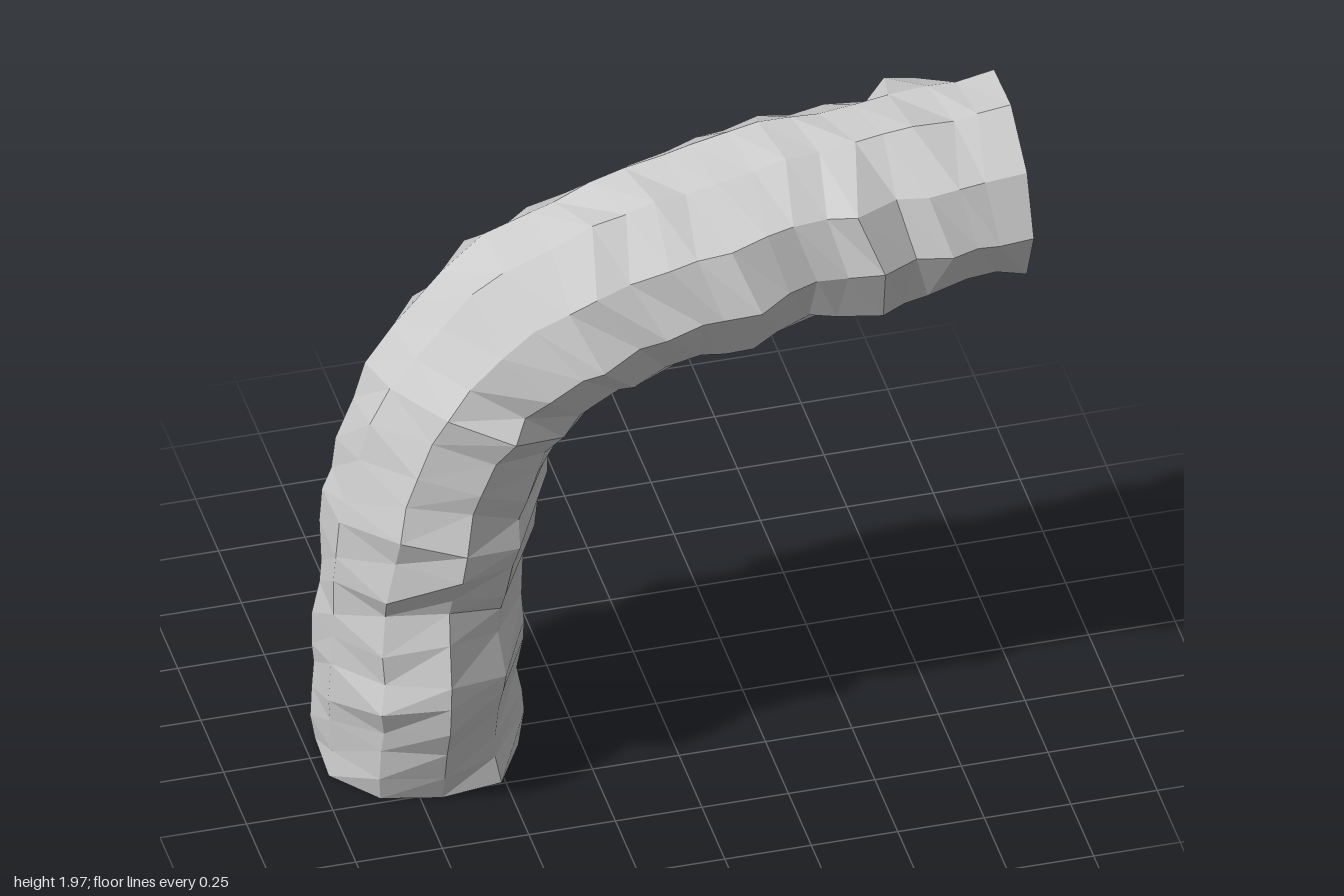
import * as THREE from 'three';

// Small seeded generator, returns values in -1..1
function seeded(seed) {
  return () => {
    seed = (seed * 16807) % 2147483647;
    return (seed / 2147483647) * 2 - 1;
  };
}

// Half widths of the front and back flank, ring by ring from the lower mouth
const FRONT = [0.29, 0.30, 0.32, 0.35, 0.36, 0.36, 0.33, 0.31, 0.34, 0.36, 0.38,
  0.34, 0.35, 0.33, 0.34, 0.33, 0.34, 0.33, 0.35, 0.34, 0.33, 0.34,
  0.34, 0.37, 0.33, 0.32, 0.34, 0.38, 0.33, 0.37, 0.35, 0.34, 0.33];
const BACK = [0.30, 0.32, 0.36, 0.40, 0.28, 0.22, 0.26, 0.26, 0.34, 0.29, 0.32,
  0.34, 0.30, 0.29, 0.33, 0.29, 0.31, 0.30, 0.30, 0.26, 0.28, 0.29,
  0.29, 0.31, 0.29, 0.30, 0.28, 0.27, 0.25, 0.35, 0.32, 0.27, 0.26];

export function createModel() {
  const group = new THREE.Group();
  group.name = 'rockTunnel';
  const rings = FRONT.length - 1, sides = 10, radius = 0.29;

  // Centre line: upright leg, bend, then a gently rising arm
  const path = new THREE.CatmullRomCurve3([
    [-0.69, 0], [-0.69, 0.45], [-0.66, 0.82], [-0.57, 1.14],
    [-0.36, 1.4], [0, 1.54], [0.5, 1.64], [1, 1.68],
  ].map(([x, y]) => new THREE.Vector3(x, y, 0)));

  // Open tube, widened on the flanks and roughened all round
  const geometry = new THREE.TubeGeometry(path, rings, radius, sides, false);
  const pos = geometry.attributes.position;
  const rand = seeded(4217);
  const p = new THREE.Vector3();
  for (let i = 0; i <= rings; i++) {
    const centre = path.getPointAt(i / rings);
    const tangent = path.getTangentAt(i / rings);
    const first = i * (sides + 1);
    for (let j = 0; j < sides; j++) {
      p.fromBufferAttribute(pos, first + j).sub(centre);
      const flank = Math.abs(p.z) / radius;
      const width = p.z > 0 ? FRONT[i] : BACK[i];
      p.z *= THREE.MathUtils.lerp(1, width / radius, flank);
      p.multiplyScalar(1 + rand() * (0.04 + 0.03 * flank));
      // Neighbouring columns are staggered, so the bands zigzag
      const stagger = j % 2 ? -0.015 : 0.015;
      p.addScaledVector(tangent, stagger + rand() * 0.022).add(centre);
      p.x = THREE.MathUtils.clamp(p.x, -1, 1);
      p.y = Math.max(p.y, 0);
      // Both mouths are cut flat
      if (i === 0) p.y = 0;
      if (i === rings) p.x = 1;
      pos.setXYZ(first + j, p.x, p.y, p.z);
    }
    // Close the seam
    pos.setXYZ(first + sides, pos.getX(first), pos.getY(first), pos.getZ(first));
  }
  geometry.computeVertexNormals();

  const wall = new THREE.Mesh(geometry, new THREE.MeshStandardMaterial({
    color: 0xcccccc, flatShading: true, side: THREE.DoubleSide,
  }));
  wall.name = 'tunnelWall';
  group.add(wall);
  return group;
}
